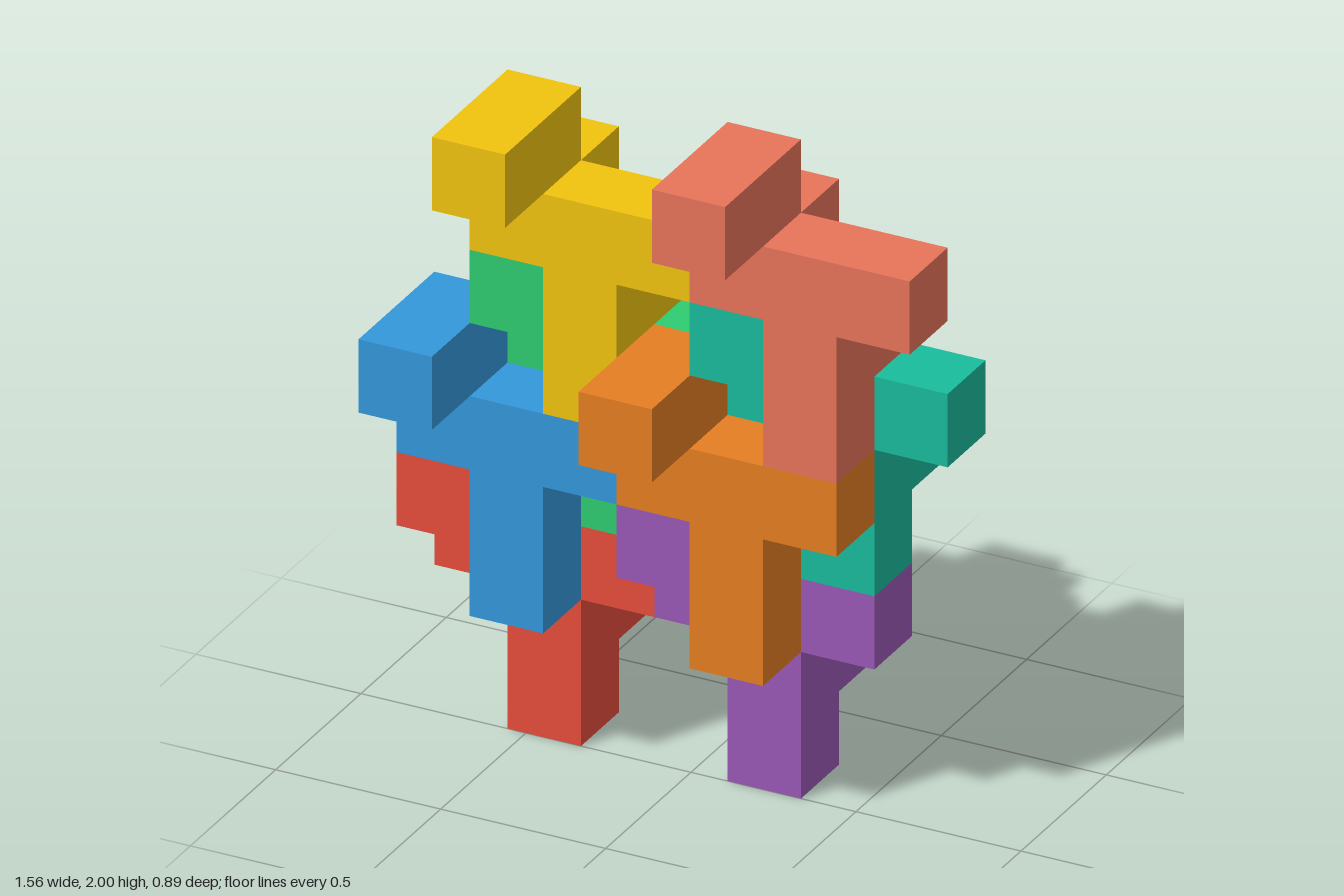
import * as THREE from 'three';

const U = 2 / 9; // edge of one cube cell

// Outline of the flat body in cells: three-cell bar, two-cell stem, raised left end
const OUTLINE = [[0, 0], [1, 0], [1, -2], [2, -2], [2, 0], [3, 0], [3, 1], [1, 1], [1, 2], [0, 2]];

// Single cubes joined to the body: [name, x, y, z] in cells
const CUBES = [
  ['frontHook', 0, 1, 1],
  ['backBarCube', 0, 0, -1],
  ['backStemCube', 1, -1, -1],
];

// Interlocking pieces: [name, color, x, y, z] of the bar's left cell
const PIECES = [
  ['yellowPiece', 0xf1c40f, 1, 7, 2],
  ['coralPiece', 0xe8745a, 4, 7, 2],
  ['bluePiece', 0x3498db, 0, 4, 2],
  ['orangePiece', 0xe67e22, 3, 4, 2],
  ['greenPiece', 0x2ecc71, 1, 5, 1],
  ['tealPiece', 0x1abc9c, 4, 5, 1],
  ['redPiece', 0xe74c3c, 0, 2, 1],
  ['purplePiece', 0x9b59b6, 3, 2, 1],
];

export function createModel() {
  const model = new THREE.Group();
  model.name = 'interlockingPuzzle';

  const outline = new THREE.Shape(OUTLINE.map(([x, y]) => new THREE.Vector2(x * U, y * U)));
  const bodyGeometry = new THREE.ExtrudeGeometry(outline, { depth: U, bevelEnabled: false });
  const cubeGeometry = new THREE.BoxGeometry(U, U, U).translate(U / 2, U / 2, U / 2);

  for (const [name, color, x, y, z] of PIECES) {
    const material = new THREE.MeshStandardMaterial({ color });
    const piece = new THREE.Group();
    piece.name = name;

    const body = new THREE.Mesh(bodyGeometry, material);
    body.name = 'body';
    piece.add(body);

    for (const [cubeName, cx, cy, cz] of CUBES) {
      const cube = new THREE.Mesh(cubeGeometry, material);
      cube.name = cubeName;
      cube.position.set(cx * U, cy * U, cz * U);
      piece.add(cube);
    }

    // Centre the 7 x 9 x 4 cell stack on x and z
    piece.position.set((x - 3.5) * U, y * U, (z - 2) * U);
    model.add(piece);
  }
  return model;
}
